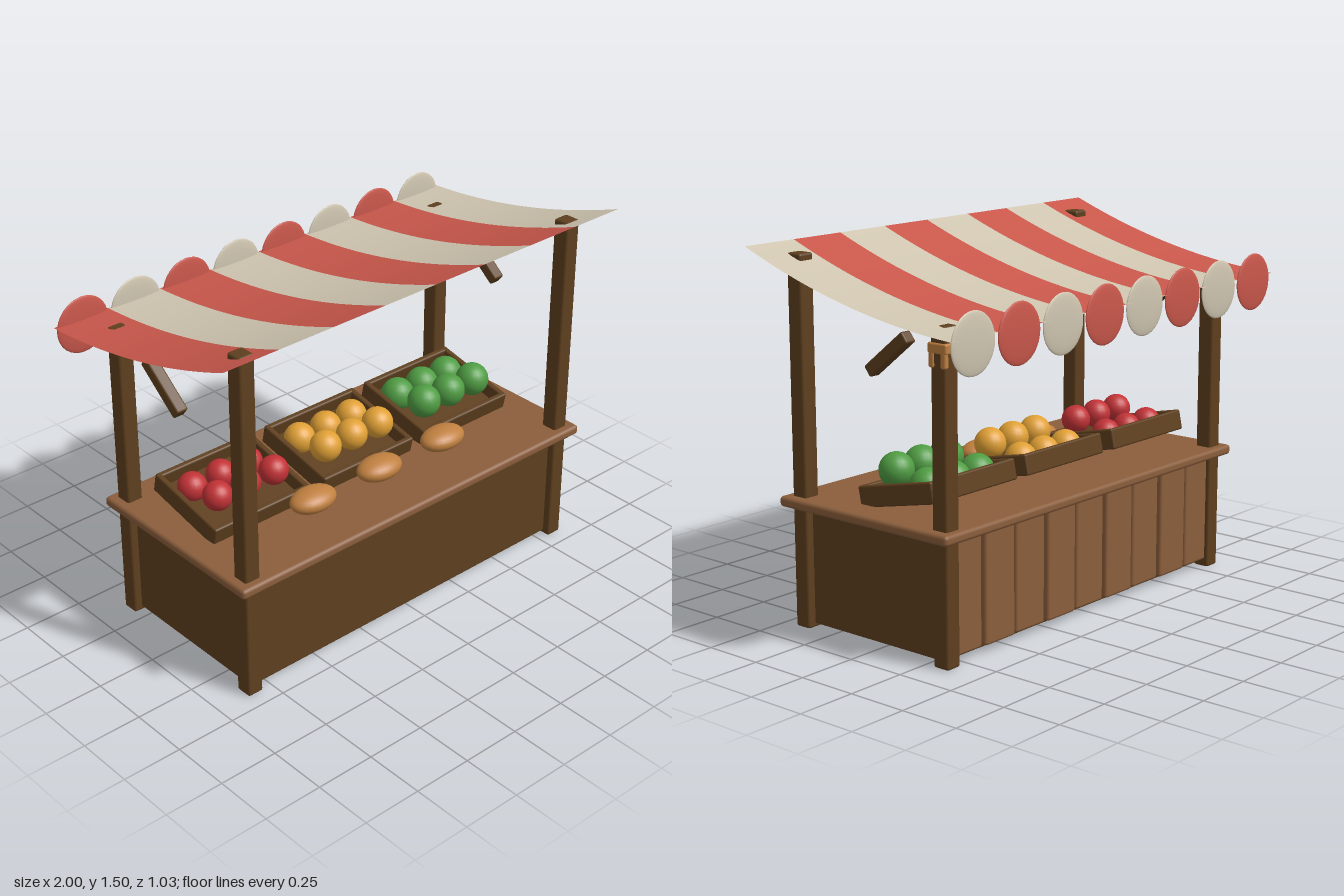
import * as THREE from 'three';
import { RoundedBoxGeometry } from 'three/addons/geometries/RoundedBoxGeometry.js';

const mat = (name, color, side = THREE.FrontSide) => {
  const m = new THREE.MeshStandardMaterial({ color, side });
  m.name = name;
  return m;
};

export function createModel() {
  const darkWood = mat('darkWood', 0x5e3f1e);
  const lightWood = mat('lightWood', 0x8b5e3c);
  const crust = mat('crust', 0xc08040);
  const redCloth = mat('redCloth', 0xc9574b, THREE.DoubleSide);
  const creamCloth = mat('creamCloth', 0xcfc5b0, THREE.DoubleSide);
  const appleRed = mat('appleRed', 0xc23236);
  const orange = mat('orange', 0xe0a035);
  const green = mat('green', 0x4f9c43);

  const root = new THREE.Group();
  root.name = 'marketStall';

  const add = (parent, name, geo, material, x, y, z) => {
    const mesh = new THREE.Mesh(geo, material);
    mesh.name = name;
    mesh.position.set(x, y, z);
    parent.add(mesh);
    return mesh;
  };
  const block = (parent, name, material, w, h, d, x, y, z, r = 0.008) =>
    add(parent, name, new RoundedBoxGeometry(w, h, d, 2, r), material, x, y, z);
  const group = (name) => {
    const g = new THREE.Group();
    g.name = name;
    root.add(g);
    return g;
  };

  // Counter: body, top board and the planks across the back
  const counter = group('counter');
  block(counter, 'counterBody', darkWood, 1.66, 0.48, 0.72, 0, 0.255, 0.045);
  block(counter, 'counterTop', lightWood, 1.81, 0.042, 0.87, 0, 0.508, 0.037, 0.015);
  for (let i = 0; i < 9; i++) {
    block(counter, 'backPlank', lightWood, 0.17, 0.46, 0.045, (i - 4) * 0.184, 0.262, -0.325 - (i % 2) * 0.006, 0.012);
  }

  // Posts and sloping braces on both sides
  const frame = group('frame');
  for (const s of [-1, 1]) {
    block(frame, 'frontPost', darkWood, 0.07, 1.475, 0.072, s * 0.83, 0.7375, 0.4, 0.01);
    block(frame, 'backPost', darkWood, 0.07, 1.285, 0.072, s * 0.83, 0.6425, -0.329, 0.01);
    block(frame, 'brace', darkWood, 0.05, 0.05, 0.245, s * 0.83, 1.145, -0.06).rotation.x = 0.675;
  }

  // Strap tied round the left back post, with hanging ends
  const strap = group('strap');
  block(strap, 'strapBand', crust, 0.084, 0.04, 0.092, 0.83, 1.204, -0.329);
  for (const sx of [-1, 1]) for (const sz of [-1, 1]) {
    block(strap, 'strapEnd', crust, 0.022, 0.085, 0.026, 0.83 + sx * 0.031, 1.174, -0.329 + sz * 0.029);
  }

  // Sagging striped canopy with round scallops along the back edge
  const canopy = group('canopy');
  const scallop = new THREE.SphereGeometry(0.118, 24, 16);
  for (let i = 0; i < 8; i++) {
    const x = -0.875 + i * 0.25;
    const cloth = i % 2 ? creamCloth : redCloth;
    const stripe = new THREE.PlaneGeometry(0.25, 1.03, 1, 20).rotateX(-Math.PI / 2);
    const p = stripe.attributes.position;
    for (let k = 0; k < p.count; k++) {
      const u = p.getZ(k) / 1.03 + 0.5;
      p.setY(k, 1.268 + 0.06 * u + 0.177 * u * u);
    }
    stripe.computeVertexNormals();
    add(canopy, 'canopyStripe', stripe, cloth, x, 0, 0);
    add(canopy, 'scallop', scallop, cloth, x, 1.245, -0.506).scale.z = 0.1;
  }

  // Tilted open crates, each with two rows of fruit
  const stock = [
    { x: -0.55, r: 0.06, m: appleRed },
    { x: 0, r: 0.065, m: orange },
    { x: 0.542, r: 0.07, m: green },
  ];
  for (const { x, r, m } of stock) {
    const crate = group('crate');
    crate.position.set(x, 0.594, -0.03);
    crate.rotation.x = 0.21;
    block(crate, 'crateFloor', darkWood, 0.48, 0.025, 0.385, 0, -0.03, 0);
    for (const s of [-1, 1]) {
      block(crate, 'crateEnd', darkWood, 0.025, 0.085, 0.385, s * 0.2275, 0, 0);
      block(crate, 'crateSide', darkWood, 0.48, 0.085, 0.025, 0, 0, s * 0.18);
    }
    const fruit = group('fruit');
    const ball = new THREE.SphereGeometry(r, 20, 14);
    for (let i = -1; i <= 1; i++) {
      add(fruit, 'frontFruit', ball, m, x + i * 0.14, 0.66, 0.055);
      add(fruit, 'backFruit', ball, m, x + i * 0.14, 0.625, -0.105);
    }
  }

  // Loaves along the front of the counter
  const loaves = group('loaves');
  const loaf = new THREE.SphereGeometry(1, 24, 16);
  for (const x of [-0.35, 0, 0.35]) {
    add(loaves, 'loaf', loaf, crust, x, 0.578, 0.22).scale.set(0.105, 0.047, 0.072);
  }

  return root;
}
